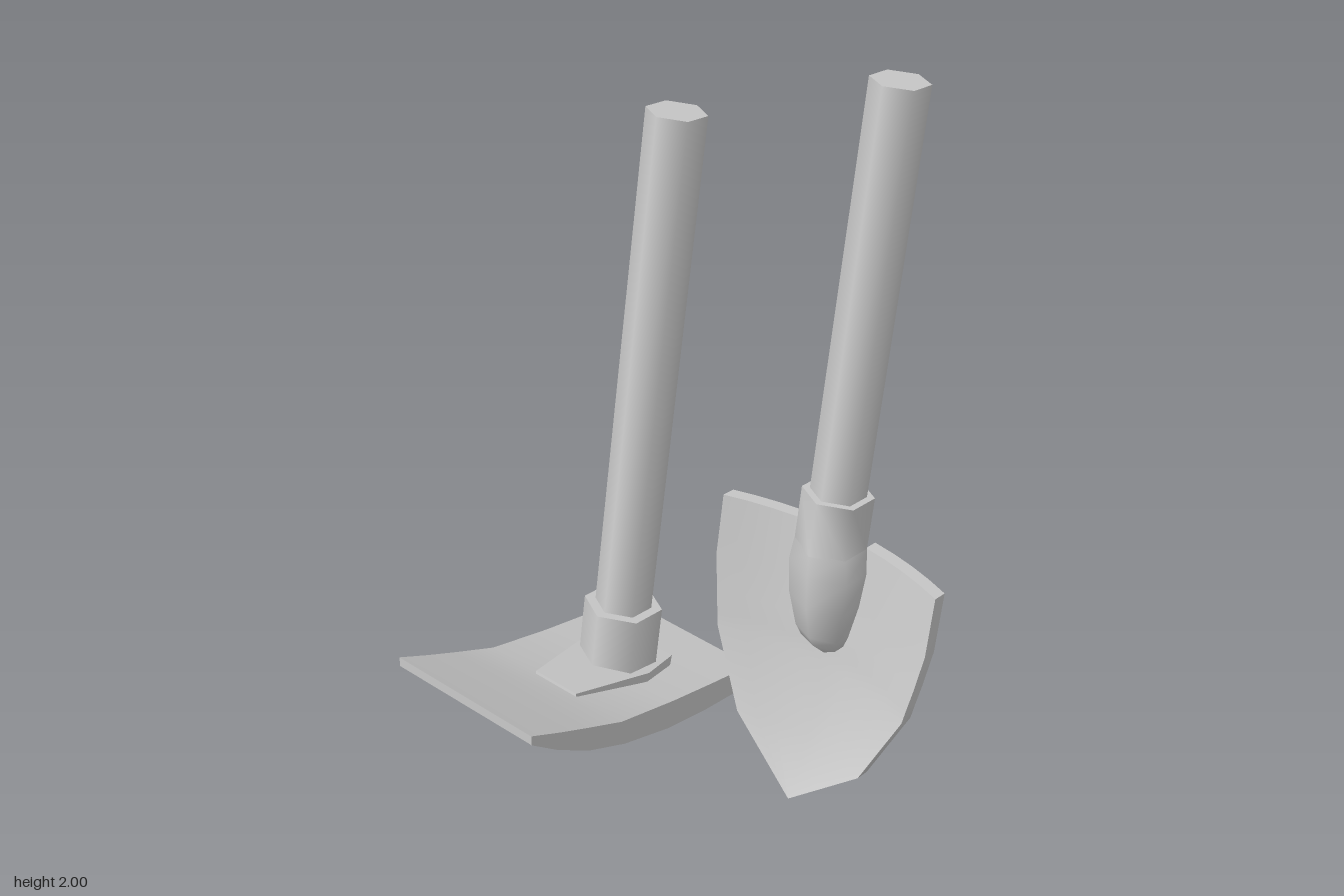
import * as THREE from 'three';
import { mergeGeometries, toCreasedNormals } from 'three/addons/utils/BufferGeometryUtils.js';

const grey = new THREE.MeshStandardMaterial({ color: 0xcccccc });
const greyThin = new THREE.MeshStandardMaterial({ color: 0xcccccc, side: THREE.DoubleSide });

function addMesh(parent, name, geometry, material = grey) {
  const mesh = new THREE.Mesh(geometry, material);
  mesh.name = name;
  parent.add(mesh);
  return mesh;
}

// Six-sided rod along y from y0 to y1, with ridges facing front and back
function hexRod(radius, y0, y1) {
  return new THREE.CylinderGeometry(radius, radius, y1 - y0, 6).translate(0, (y0 + y1) / 2, 0);
}

// Skin over rows of points, ordered top to bottom
function loft(rows, closed, flip = false) {
  const n = rows[0].length;
  const index = [];
  for (let r = 0; r < rows.length - 1; r++) {
    for (let i = 0; i < (closed ? n : n - 1); i++) {
      const j = (i + 1) % n;
      const [a, b, c, d] = [r * n + i, r * n + j, (r + 1) * n + i, (r + 1) * n + j];
      index.push(...(flip ? [a, b, c, b, d, c] : [a, c, b, b, c, d]));
    }
  }
  const geo = new THREE.BufferGeometry();
  geo.setAttribute('position', new THREE.Float32BufferAttribute(rows.flat(2), 3));
  geo.setIndex(index);
  return geo;
}

// One half of the dished blade; rows hold height, half width, slot half width, dish depth, half thickness
function halfBlade(side) {
  const rows = [
    [0.79, 0.33, 0.075, -0.07, 0],
    [0.79, 0.33, 0.075, -0.07, 0.02],
    [0.62, 0.33, 0.07, -0.07, 0.02],
    [0.51, 0.315, 0.05, -0.07, 0.02],
    [0.45, 0.305, 0, -0.07, 0.02],
    [0.405, 0.298, 0, -0.07, 0.02],
    [0.18, 0.2, 0, -0.05, 0.02],
    [0, 0, 0, 0, 0.02],
  ];
  const steps = 4;
  const rings = rows.map(([y, w, slot, depth, t]) => {
    const front = [], back = [];
    for (let i = 0; i <= steps; i++) {
      const x = slot + (w - slot) * i / steps;
      const z = w > 0 ? depth * (1 - (x / w) ** 2) : 0;
      front.push([side * x, y, z + t]);
      back.unshift([side * x, y, z - t]);
    }
    return [...front, ...back];
  });
  return loft(rings, true, side < 0);
}

function createShovel() {
  const shovel = new THREE.Group();
  shovel.name = 'shovel';
  shovel.position.set(0.265, 0.02, -0.095);
  shovel.rotation.set(-0.151, -0.03, 0, 'YXZ');

  addMesh(shovel, 'shovelHandle', hexRod(0.071, 0.66, 1.99));
  addMesh(shovel, 'shovelBlade', toCreasedNormals(mergeGeometries([halfBlade(1), halfBlade(-1)]), 0.6));

  // Hexagonal ring around the handle
  const hexagon = (r) => Array.from({ length: 6 }, (_, i) =>
    new THREE.Vector2(r * Math.sin(i * Math.PI / 3), r * Math.cos(i * Math.PI / 3)));
  const ring = new THREE.Shape(hexagon(0.091));
  ring.holes.push(new THREE.Path(hexagon(0.069)));
  const collar = new THREE.ExtrudeGeometry(ring, { depth: 0.15, bevelEnabled: false });
  collar.rotateX(-Math.PI / 2).translate(0, 0.785, 0);
  addMesh(shovel, 'shovelCollar', toCreasedNormals(collar, 1.1));

  // Tapering half sleeve on the front of the blade, open behind
  const sleeveRows = [
    [0.79, 0.079, 0.09, -0.055],
    [0.72, 0.09, 0.084, -0.06],
    [0.62, 0.083, 0.068, -0.06],
    [0.52, 0.065, 0.035, -0.06],
    [0.485, 0.055, 0.01, -0.06],
    [0.44, 0.004, -0.045, -0.06],
  ].map(([y, a, front, base]) => {
    const mid = base + (front - base) * 0.7;
    return [[-a, y, base], [-a, y, mid], [0, y, front], [a, y, mid], [a, y, base]];
  });
  addMesh(shovel, 'shovelSleeve', toCreasedNormals(loft(sleeveRows, false), 1.2), greyThin);
  return shovel;
}

function createHoe() {
  const hoe = new THREE.Group();
  hoe.name = 'hoe';
  hoe.position.x = -0.355;
  hoe.rotation.y = -0.023;

  // Curved plate: side profile (z, y) swept across the width
  const profile = [
    [-0.4, 0], [-0.2, 0.04], [-0.05, 0.08], [0.13, 0.15], [0.27, 0.225], [0.385, 0.31], [0.475, 0.39],
    [0.475, 0.42], [0.38, 0.365], [0.28, 0.31], [0.14, 0.235], [-0.07, 0.165], [-0.25, 0.112], [-0.405, 0.07],
  ].map(([z, y]) => new THREE.Vector2(z, y));
  const plate = new THREE.ExtrudeGeometry(new THREE.Shape(profile), { depth: 0.47, bevelEnabled: false });
  plate.translate(0, 0, -0.235).rotateY(-Math.PI / 2);
  addMesh(hoe, 'hoeBlade', toCreasedNormals(plate, 0.5));

  // Raised pad under the collar, tapering toward the cutting edge
  const outline = [[0.073, -0.15], [0.12, 0.1], [0.095, 0.23], [-0.095, 0.23], [-0.12, 0.1], [-0.073, -0.15]]
    .map(([x, y]) => new THREE.Vector2(x, y));
  const pad = new THREE.ExtrudeGeometry(new THREE.Shape(outline), { depth: 0.05, bevelEnabled: false });
  pad.rotateX(-Math.PI / 2).translate(0, -0.05, 0);
  const padMesh = addMesh(hoe, 'hoePad', pad);
  padMesh.position.set(0.005, 0.21, 0);
  padMesh.rotation.x = -0.25;

  // Collar and handle lean backward together
  const shaft = new THREE.Group();
  shaft.name = 'hoeShaft';
  shaft.position.set(0.003, 0.15, -0.1);
  shaft.rotation.x = -0.168;
  addMesh(shaft, 'hoeCollar', hexRod(0.108, 0, 0.2));
  addMesh(shaft, 'hoeHandle', hexRod(0.078, 0.1, 1.607));
  hoe.add(shaft);
  return hoe;
}

export function createModel() {
  const model = new THREE.Group();
  model.name = 'gardenTools';
  model.add(createShovel(), createHoe());
  return model;
}
